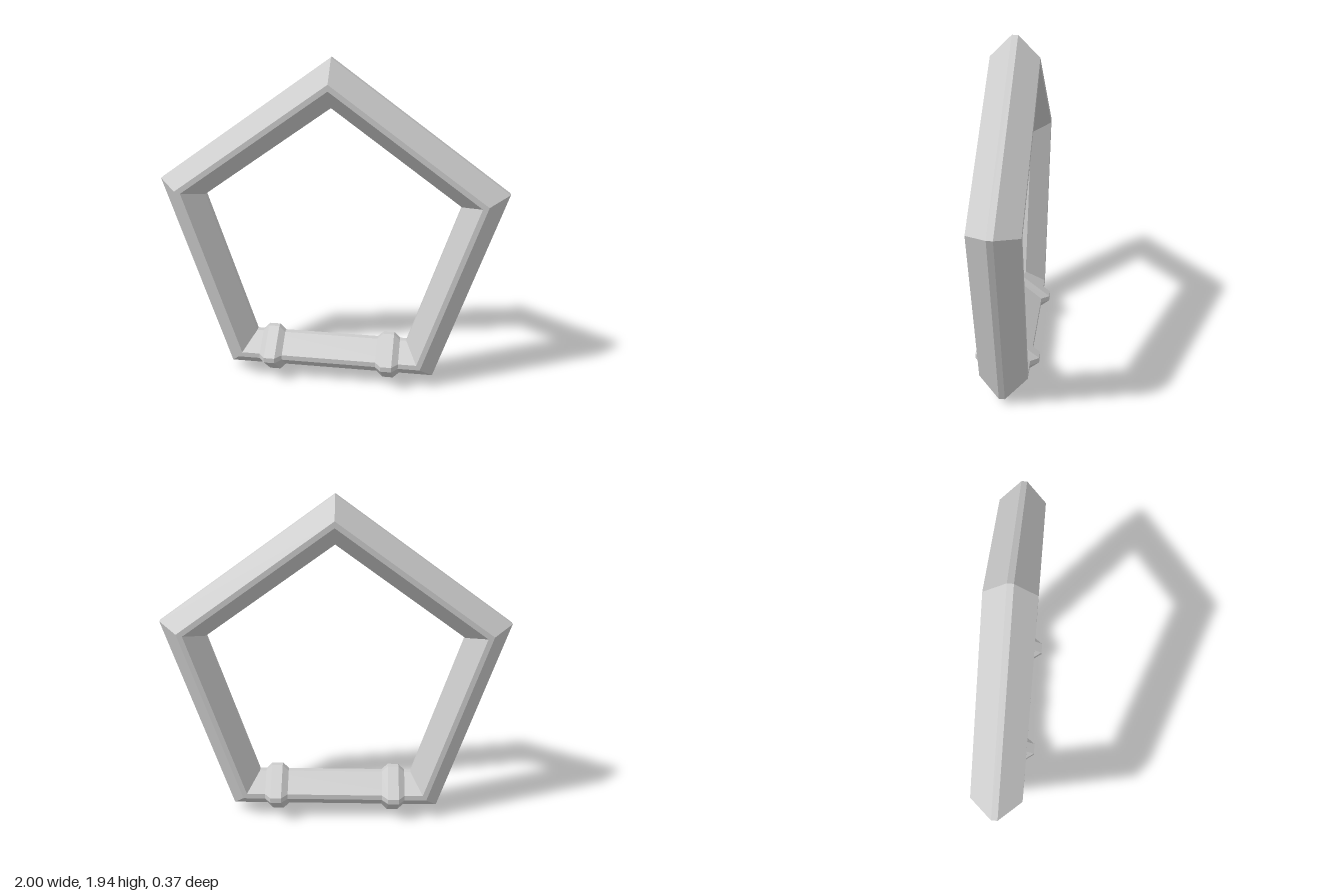
import * as THREE from 'three';

const material = new THREE.MeshStandardMaterial({ color: 0xcccccc, flatShading: true });

function flatMesh(geometry, name) {
  const g = geometry.index ? geometry.toNonIndexed() : geometry;
  g.computeVertexNormals();
  const mesh = new THREE.Mesh(g, material);
  mesh.name = name;
  return mesh;
}

// Eight-sided cross-section [y, z], running counter-clockwise seen from +x
const section = (bottom, top, depth) => [
  [bottom, 0.017], [bottom, -0.017], [0.135, -depth], [0.165, -depth],
  [top, -0.017], [top, 0.017], [0.165, depth], [0.135, depth],
];

// Skin joining closed sections placed along x
function loft(rings) {
  const pos = [];
  for (let r = 0; r < rings.length - 1; r++) {
    const [p, q] = [rings[r], rings[r + 1]];
    const n = p.loop.length;
    for (let i = 0; i < n; i++) {
      const j = (i + 1) % n;
      const a = [p.x, ...p.loop[i]], b = [p.x, ...p.loop[j]];
      const c = [q.x, ...q.loop[j]], d = [q.x, ...q.loop[i]];
      pos.push(...a, ...b, ...c, ...a, ...c, ...d);
    }
  }
  const g = new THREE.BufferGeometry();
  g.setAttribute('position', new THREE.Float32BufferAttribute(pos, 3));
  return g;
}

export function createModel() {
  const group = new THREE.Group();
  group.name = 'pentagonFrame';

  // Five-sided ring: bevelled profile turned in five steps, then stood upright
  const profile = [
    [1.0515, -0.017], [1.0515, 0.017], [0.9315, 0.137], [0.8945, 0.137],
    [0.7765, 0.017], [0.7765, -0.017], [0.8945, -0.137], [0.9315, -0.137],
    [1.0515, -0.017],
  ].map(([r, z]) => new THREE.Vector2(r, z));
  const ring = new THREE.LatheGeometry(profile, 5);
  ring.rotateX(-Math.PI / 2);
  ring.translate(0, 0.8885, 0);
  group.add(flatMesh(ring, 'frame'));

  // Raised collars around the bottom bar
  const base = section(0.038, 0.26, 0.137);
  const raised = section(0, 0.297, 0.185);
  for (const side of [-1, 1]) {
    const collar = flatMesh(loft([
      { x: -0.068, loop: base }, { x: -0.032, loop: raised },
      { x: 0.032, loop: raised }, { x: 0.068, loop: base },
    ]), side > 0 ? 'leftCollar' : 'rightCollar');
    collar.position.x = side * 0.35;
    group.add(collar);
  }
  return group;
}
